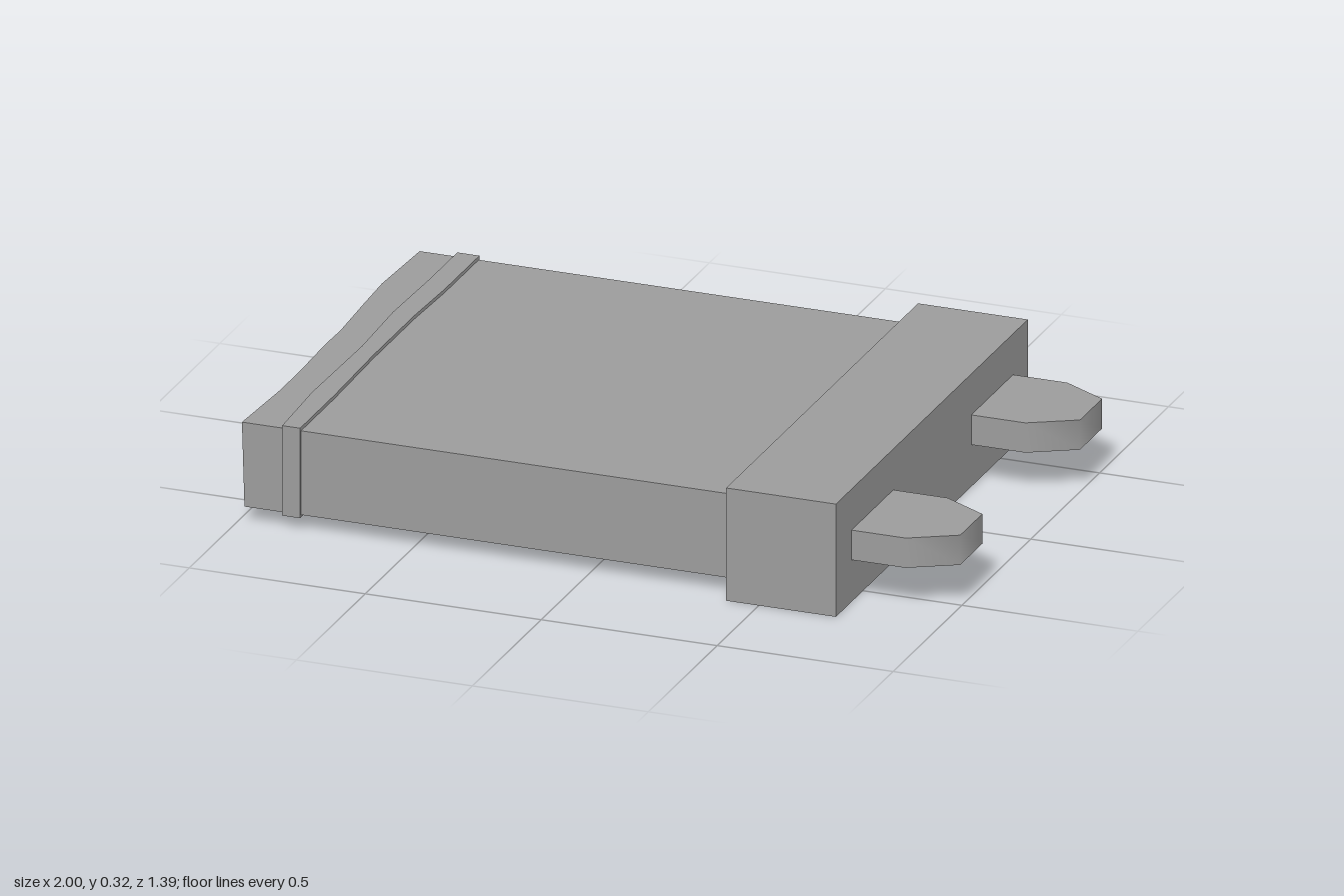
import * as THREE from 'three';
import { toCreasedNormals } from 'three/addons/utils/BufferGeometryUtils.js';

const material = new THREE.MeshStandardMaterial({ color: 0x9c9c9c });

// Flat slab: an outline of [x, z] points raised from y0 to y1.
// Gentle bends in the outline are shaded smooth, right angles stay sharp.
function slab(name, outline, y0, y1, adjust) {
  const shape = new THREE.Shape(outline.map(([x, z]) => new THREE.Vector2(x, -z)));
  const geometry = new THREE.ExtrudeGeometry(shape, { depth: y1 - y0, bevelEnabled: false });
  geometry.rotateX(-Math.PI / 2).translate(0, y0, 0);
  if (adjust) adjust(geometry.attributes.position);
  const mesh = new THREE.Mesh(toCreasedNormals(geometry, 1.2), material);
  mesh.name = name;
  return mesh;
}

// The wave of the body's end fades towards the underside
function fadeWave(p) {
  for (let i = 0; i < p.count; i++) {
    if (p.getX(i) < 0 && p.getY(i) < 0.1) p.setX(i, THREE.MathUtils.lerp(p.getX(i), -0.978, 0.6));
  }
}

export function createModel() {
  const model = new THREE.Group();
  model.name = 'plug';

  // Main body with a slightly wavy far end
  model.add(slab('body', [
    [0.42, -0.648], [0.42, 0.643], [-0.99, 0.643], [-0.978, 0.4], [-0.978, 0.25],
    [-0.984, 0.05], [-0.982, -0.05], [-0.993, -0.25], [-1, -0.4], [-0.99, -0.648],
  ], 0.043, 0.283, fadeWave));

  // Thin raised band around the body near the wavy end
  model.add(slab('band', [
    [-0.822, -0.653], [-0.822, -0.4], [-0.829, -0.2], [-0.829, 0.1], [-0.822, 0.4], [-0.822, 0.65],
    [-0.873, 0.65], [-0.885, 0.4], [-0.88, 0.05], [-0.891, -0.2], [-0.885, -0.45], [-0.885, -0.653],
  ], 0.036, 0.293));

  // Thick collar
  const collar = new THREE.Mesh(new THREE.BoxGeometry(0.312, 0.322, 1.394), material);
  collar.name = 'collar';
  collar.position.set(0.563, 0.161, 0);
  model.add(collar);

  // Two tapered prongs
  for (const z of [-0.438, 0.432]) {
    model.add(slab(z > 0 ? 'frontProng' : 'backProng', [
      [0.7, z - 0.152], [0.873, z - 0.152], [1, z - 0.08],
      [1, z + 0.08], [0.873, z + 0.152], [0.7, z + 0.152],
    ], 0.12, 0.205));
  }

  return model;
}
